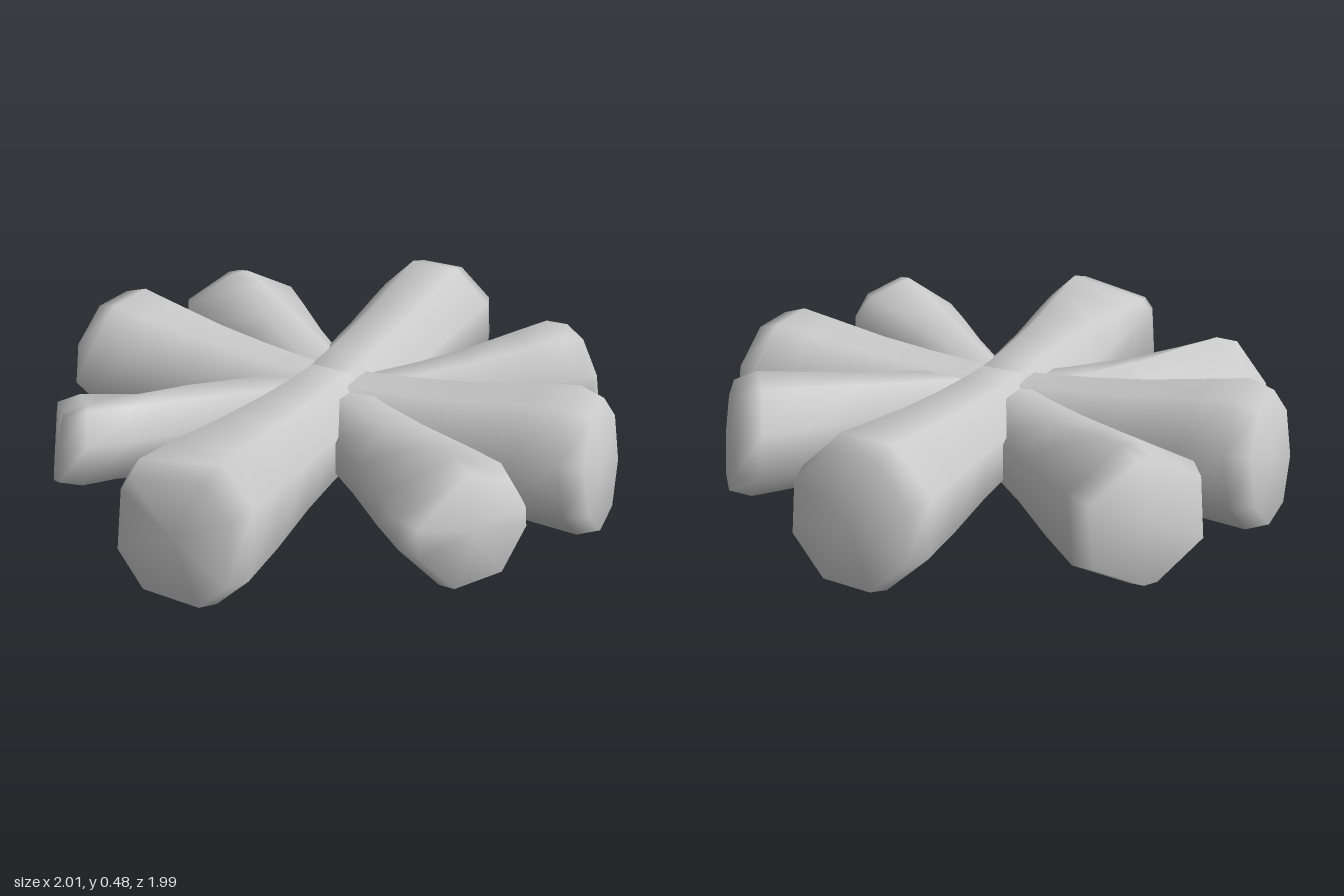
import * as THREE from 'three';

// Angles of the eight section corners, in degrees
const OCTAGON = [22.5, 67.5, 112.5, 157.5, 202.5, 247.5, 292.5, 337.5];

// Each arm: tip position (x, z), tip centre height, half width and half height at
// the tip, then half width, half height, centre height and side shift at the hub,
// and the corner angles its section turns into at the tip
const ARMS = [
  { name: 'frontArm', x: 0, z: 0.96, y: 0.228, w: 0.226, h: 0.223, hub: [0.178, 0.167, 0.212, 0],
    corners: [27, 64, 138, 152, 205, 243, 298, 333] },
  { name: 'backArm', x: 0, z: -0.965, y: 0.262, w: 0.225, h: 0.223, hub: [0.178, 0.167, 0.212, 0],
    corners: OCTAGON },
  { name: 'leftArm', x: 0.965, z: -0.07, y: 0.228, w: 0.228, h: 0.223, hub: [0.16, 0.16, 0.195, 0],
    corners: OCTAGON },
  { name: 'rightArm', x: -0.968, z: 0.005, y: 0.262, w: 0.227, h: 0.223, hub: [0.145, 0.16, 0.195, 0],
    corners: OCTAGON },
  { name: 'frontLeftArm', x: 0.773, z: 0.545, y: 0.26, w: 0.21, h: 0.203, hub: [0.13, 0.135, 0.2, 0],
    corners: [10, 45, 93, 165, 192, 248, 300, 350] },
  { name: 'backLeftArm', x: 0.685, z: -0.645, y: 0.25, w: 0.192, h: 0.192, hub: [0.105, 0.145, 0.198, -0.06],
    corners: OCTAGON },
  { name: 'frontRightArm', x: -0.7, z: 0.642, y: 0.205, w: 0.19, h: 0.188, hub: [0.125, 0.145, 0.198, -0.015],
    corners: [20, 57, 64, 152, 165, 245, 255, 340] },
  { name: 'backRightArm', x: -0.755, z: -0.53, y: 0.24, w: 0.222, h: 0.22, hub: [0.145, 0.15, 0.198, -0.03],
    corners: [30, 84, 96, 150, 210, 264, 276, 330] },
];

// Stations along an arm: position, flare from hub size to tip size, scale
const STATIONS = [
  [0, 0, 1], [0.15, 0.03, 1], [0.32, 0.14, 1], [0.52, 0.36, 1],
  [0.75, 0.78, 1], [0.92, 1, 1], [1, 1, 0.88],
];

const { lerp, degToRad } = THREE.MathUtils;

// Section between the octagon and the tip corners, with half width and height of one
function section(corners, flare) {
  const points = corners.map((corner, j) => {
    const a = degToRad(lerp(OCTAGON[j], corner, flare));
    return [Math.cos(a), Math.sin(a)];
  });
  const maxX = Math.max(...points.map((p) => Math.abs(p[0])));
  const maxY = Math.max(...points.map((p) => Math.abs(p[1])));
  return points.map(([x, y]) => [x / maxX, y / maxY]);
}

// Flared arm lofted along +z with a bevelled, slightly leaning end
function armGeometry({ x, z, y, w, h, hub, corners }) {
  const length = Math.hypot(x, z);
  const sides = corners.length;
  const [hubW, hubH, hubY, hubShift] = hub;
  const positions = [], index = [];

  for (const [t, flare, scale] of STATIONS) {
    const hw = lerp(hubW, w, flare) * scale;
    const hh = lerp(hubH, h, flare) * scale;
    const cx = lerp(hubShift, 0, flare);
    const cy = lerp(hubY, y, t);
    const lean = t > 0.9 ? -0.17 : 0;
    for (const [px, py] of section(corners, flare)) {
      positions.push(cx + px * hw, cy + py * hh, t * length + py * hh * lean);
    }
  }

  // Side walls
  for (let i = 0; i < STATIONS.length - 1; i++) {
    for (let j = 0; j < sides; j++) {
      const k = (j + 1) % sides;
      const a = i * sides + j, b = i * sides + k;
      const c = a + sides, d = b + sides;
      index.push(a, b, c, b, d, c);
    }
  }

  // End face
  const rim = (STATIONS.length - 1) * sides;
  const tip = positions.length / 3;
  positions.push(0, y, length + 0.004);
  for (let j = 0; j < sides; j++) index.push(rim + j, rim + ((j + 1) % sides), tip);

  const geometry = new THREE.BufferGeometry();
  geometry.setAttribute('position', new THREE.Float32BufferAttribute(positions, 3));
  geometry.setIndex(index);
  geometry.computeVertexNormals();
  return geometry;
}

export function createModel() {
  const group = new THREE.Group();
  group.name = 'eightArmedStar';
  const material = new THREE.MeshStandardMaterial({ color: 0xcccccc });
  for (const arm of ARMS) {
    const mesh = new THREE.Mesh(armGeometry(arm), material);
    mesh.name = arm.name;
    mesh.rotation.y = Math.atan2(arm.x, arm.z);
    group.add(mesh);
  }
  return group;
}
